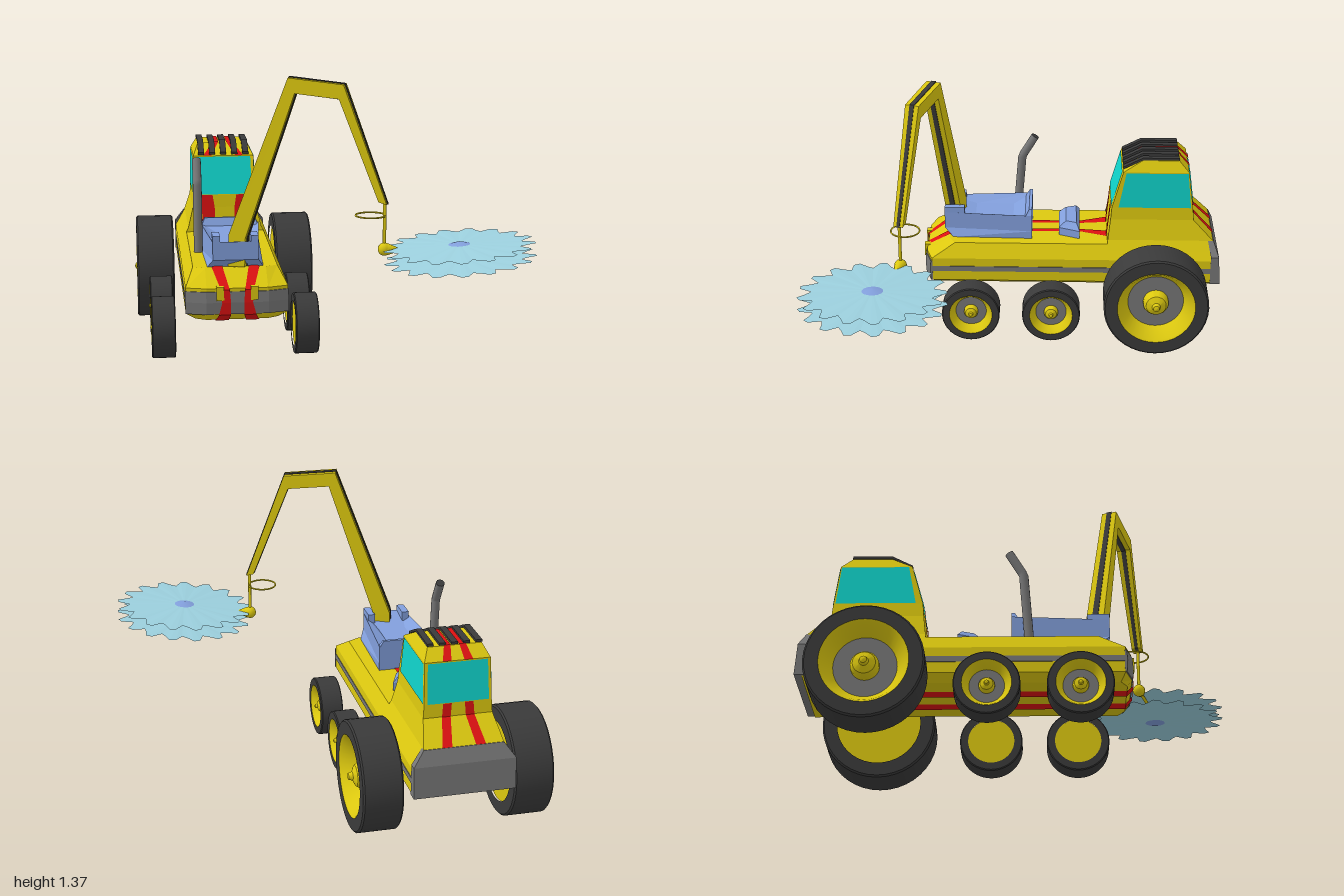
import * as THREE from 'three';
import { toCreasedNormals } from 'three/addons/utils/BufferGeometryUtils.js';

const mat = (color, extra = {}) => new THREE.MeshStandardMaterial({ color, ...extra });
const flat = (color) => mat(color, { flatShading: true });
const thin = (color) => mat(color, { flatShading: true, side: THREE.DoubleSide });
const YELLOW = 0xdcc80f, RED = 0xdd1111, GREY = 0x777777, DARK = 0x3a3a3a;
const BLUE = 0x829fdc, GLASS = 0x10d5cc, BLADE = 0x9cd0de;

function add(parent, name, geo, material, pos = [0, 0, 0]) {
  const m = new THREE.Mesh(geo, material);
  m.name = name;
  m.position.set(...pos);
  parent.add(m);
  return m;
}

function fromTriangles(tris) {
  const g = new THREE.BufferGeometry();
  g.setAttribute('position', new THREE.Float32BufferAttribute(tris.flat(2), 3));
  g.computeVertexNormals();
  return g;
}

// Solid through a series of equal-length cross-section loops
function loft(rings) {
  const t = [], n = rings[0].length, last = rings[rings.length - 1];
  for (let r = 0; r < rings.length - 1; r++) {
    const a = rings[r], b = rings[r + 1];
    for (let i = 0; i < n; i++) {
      const j = (i + 1) % n;
      t.push([a[i], a[j], b[j]], [a[i], b[j], b[i]]);
    }
  }
  for (let i = 1; i < n - 1; i++) {
    t.push([rings[0][0], rings[0][i + 1], rings[0][i]], [last[0], last[i], last[i + 1]]);
  }
  return fromTriangles(t);
}

// Open band through pairs of points
function strip(pairs) {
  const t = [];
  for (let i = 0; i < pairs.length - 1; i++) {
    const [a, b] = pairs[i], [c, d] = pairs[i + 1];
    t.push([a, b, d], [a, d, c]);
  }
  return fromTriangles(t);
}

// Horizontal four-sided loop: height, front z, back z, half widths front and back
const rect = (y, zf, zb, hf, hb = hf) => [[hf, y, zf], [hb, y, zb], [-hb, y, zb], [-hf, y, zf]];
// The same with chamfered front corners
const nose = (y, zf, zb, h, c) => [[c, y, zf], [h, y, zf - 0.03], [h, y, zb], [-h, y, zb], [-h, y, zf - 0.03], [-c, y, zf]];

function wheel(R, h) {
  const g = new THREE.Group();
  const lathe = (name, pts, color) => add(g, name, toCreasedNormals(
    new THREE.LatheGeometry(pts.map(([r, y]) => new THREE.Vector2(r * R, y * h)), 40), 0.6), mat(color));
  lathe('tyre', [[0.74, -1], [0.97, -1], [1, -0.92], [1, 0.92], [0.97, 1], [0.74, 1]], DARK);
  lathe('innerDisc', [[0, -0.9], [0.75, -0.9]], YELLOW);
  lathe('rim', [[0.74, 1], [0.7, 0.92], [0.53, 0.2]], YELLOW);
  lathe('wheelPlate', [[0.54, 0.2], [0, 0.2]], GREY);
  lathe('hub', [[0.24, 0.2], [0.24, 0.45], [0.19, 0.7], [0.08, 0.85], [0.06, 1.05], [0, 1.12]], YELLOW);
  return g;
}

function buildTruck(truck) {
  // Chassis, bumpers and side trim
  add(truck, 'chassis', loft([nose(0.265, 0.455, -0.96, 0.19, 0.14), nose(0.295, 0.475, -0.97, 0.234, 0.14),
    nose(0.415, 0.475, -0.965, 0.234, 0.14), nose(0.485, 0.36, -0.95, 0.195, 0.14)]), flat(YELLOW));
  add(truck, 'frontBumper', loft([nose(0.295, 0.48, 0.442, 0.236, 0.142), nose(0.35, 0.484, 0.442, 0.236, 0.142),
    nose(0.4, 0.48, 0.442, 0.236, 0.142)]), flat(GREY));
  add(truck, 'rearBumper', loft([rect(0.288, -0.95, -1, 0.236), rect(0.435, -0.95, -0.99, 0.236),
    rect(0.505, -0.935, -0.963, 0.185)]), flat(GREY));
  add(truck, 'sideTrim', new THREE.BoxGeometry(0.474, 0.027, 1.41), flat(GREY), [0, 0.359, -0.255]);

  // Cab
  add(truck, 'cab', loft([rect(0.43, -0.43, -0.965, 0.225), rect(0.505, -0.435, -0.96, 0.185),
    rect(0.607, -0.447, -0.86, 0.16), rect(0.67, -0.452, -0.855, 0.156),
    rect(0.86, -0.505, -0.83, 0.152), rect(0.913, -0.6, -0.78, 0.125)]), flat(YELLOW));
  const pane = (name, a, b, c, d) => add(truck, name, strip([[a, b], [c, d]]), thin(GLASS));
  pane('windscreen', [-0.14, 0.672, -0.449], [0.14, 0.672, -0.449], [-0.136, 0.856, -0.5], [0.136, 0.856, -0.5]);
  pane('rearWindow', [-0.142, 0.672, -0.859], [0.142, 0.672, -0.859], [-0.138, 0.856, -0.835], [0.138, 0.856, -0.835]);
  for (const s of [1, -1]) {
    pane('sideWindow', [s * 0.159, 0.672, -0.485], [s * 0.159, 0.672, -0.845],
      [s * 0.155, 0.856, -0.52], [s * 0.155, 0.856, -0.825]);
  }

  // Roof bars following the roof slope
  for (let i = -2; i <= 2; i++) {
    const x = i * 0.056, w = 0.015;
    const section = (y, z) => [[x - w, y, z], [x - w, y + 0.012, z], [x + w, y + 0.012, z], [x + w, y, z]];
    add(truck, 'roofBar', loft([section(0.866, -0.505), section(0.915, -0.6), section(0.915, -0.78)]), thin(DARK));
  }

  // Paired racing stripes: height, z, inner and outer offset
  const stripes = [
    [[0.261, -0.94, 0.04, 0.1], [0.261, 0.456, 0.04, 0.1], [0.293, 0.485, 0.03, 0.085], [0.35, 0.488, 0.03, 0.07],
      [0.41, 0.484, 0.035, 0.075], [0.489, 0.363, 0.06, 0.11], [0.489, 0.25, 0.035, 0.062], [0.489, -0.3, 0.035, 0.062],
      [0.489, -0.43, 0.05, 0.11], [0.607, -0.442, 0.05, 0.115], [0.67, -0.447, 0.06, 0.12]],
    [[0.862, -0.508, 0.06, 0.1], [0.917, -0.601, 0.02, 0.05], [0.917, -0.782, 0.02, 0.05], [0.862, -0.835, 0.03, 0.07]],
    [[0.67, -0.86, 0.03, 0.07], [0.608, -0.865, 0.035, 0.075], [0.507, -0.965, 0.055, 0.1]],
  ];
  for (const path of stripes) for (const s of [1, -1]) {
    add(truck, 'stripe', strip(path.map(([y, z, a, b]) => [[s * a, y, z], [s * b, y, z]])), thin(RED));
  }

  // Blue deck box with a shallow basin and raised lips
  add(truck, 'deckBox', loft([rect(0.483, 0.34, -0.055, 0.13, 0.14), rect(0.525, 0.385, -0.055, 0.105, 0.14),
    rect(0.61, 0.385, -0.055, 0.105, 0.14), rect(0.58, 0.23, 0.04, 0.068)]), flat(BLUE));
  add(truck, 'rearLip', loft([rect(0.6, -0.02, -0.055, 0.136, 0.14), rect(0.637, -0.04, -0.055, 0.12)]), flat(BLUE));
  for (const s of [1, -1]) {
    add(truck, 'frontLip', new THREE.BoxGeometry(0.035, 0.05, 0.1), flat(BLUE), [s * 0.088, 0.612, 0.335]);
  }
  add(truck, 'deckHatch', loft([rect(0.483, -0.19, -0.295, 0.092, 0.138), rect(0.525, -0.19, -0.295, 0.092, 0.138),
    rect(0.557, -0.225, -0.278, 0.08, 0.1)]), flat(BLUE));

  // Exhaust stack
  const pipe = new THREE.CurvePath();
  const bends = [[0.025, 0.485], [0.0, 0.81], [-0.065, 0.92]].map(([z, y]) => new THREE.Vector3(-0.155, y, z));
  pipe.add(new THREE.LineCurve3(bends[0], bends[1]));
  pipe.add(new THREE.LineCurve3(bends[1], bends[2]));
  add(truck, 'exhaust', new THREE.TubeGeometry(pipe, 24, 0.021, 12), mat(GREY, { side: THREE.DoubleSide }));
  const tip = add(truck, 'exhaustTip', new THREE.CircleGeometry(0.021, 12), thin(DARK), bends[2].toArray());
  tip.rotation.x = -2.1;

  // Front hooks and wheels on both sides
  for (const s of [1, -1]) {
    add(truck, 'frontHook', new THREE.BoxGeometry(0.034, 0.062, 0.055), flat(YELLOW), [s * 0.078, 0.393, 0.463]);
    for (const [R, h, x, y, z] of [[0.26, 0.094, 0.352, 0.26, -0.674], [0.144, 0.055, 0.333, 0.18, -0.155], [0.144, 0.055, 0.333, 0.18, 0.245]]) {
      const w = wheel(R, h);
      w.name = R > 0.2 ? 'rearWheel' : 'smallWheel';
      w.position.set(s * x, y, z);
      w.rotation.z = -s * Math.PI / 2;
      truck.add(w);
    }
  }
}

function buildArm(arm) {
  // Jointed boom: outer and inner edge (along, up) and half width
  const boom = [[-0.035, 0.49, 0.045, 0.49, 0.042], [-0.03, 0.64, 0.047, 0.62, 0.042], [0.249, 1.365, 0.28, 1.295, 0.036],
    [0.503, 1.34, 0.482, 1.275, 0.034], [0.699, 0.805, 0.662, 0.815, 0.024]];
  const section = (grow, k) => boom.map(([ox, oy, ix, iy, w]) => {
    const l = Math.hypot(ox - ix, oy - iy), dx = (ox - ix) / l * grow, dy = (oy - iy) / l * grow;
    const i = [ix - dx, iy - dy], o = [ox + dx, oy + dy];
    return [[...i, w * k], [...i, -w * k], [...o, -w * k], [...o, w * k]];
  });
  add(arm, 'boom', loft(section(0, 1)), flat(YELLOW));
  add(arm, 'boomStripe', loft(section(0.004, 0.33)), flat(DARK));
  // Hanging rod, loop and elbow
  add(arm, 'hangingRod', new THREE.CylinderGeometry(0.008, 0.008, 0.22, 8), mat(YELLOW), [0.686, 0.705, 0]);
  const loop = add(arm, 'hoseLoop', new THREE.TorusGeometry(0.068, 0.004, 6, 28), mat(YELLOW), [0.622, 0.75, 0]);
  loop.rotation.x = Math.PI / 2;
  add(arm, 'elbow', new THREE.SphereGeometry(0.03, 14, 10), mat(YELLOW), [0.686, 0.597, 0]);
}

function sawBlade() {
  // Thin lens whose rim is pulled into slanted teeth
  const teeth = 17, radii = [0.28, 0.302, 0.342, 0.335];
  const g = new THREE.LatheGeometry([[0, -0.009], [1, 0], [0, 0.009]].map((p) => new THREE.Vector2(...p)), teeth * 4);
  const p = g.attributes.position;
  for (let i = 0; i < p.count; i++) {
    const r = radii[Math.floor(i / 3) % 4];
    p.setXYZ(i, p.getX(i) * r, p.getY(i), p.getZ(i) * r);
  }
  return g;
}

export function createModel() {
  const model = new THREE.Group();
  const group = (name, x, y, z) => {
    const g = new THREE.Group();
    g.name = name;
    g.position.set(x, y, z);
    model.add(g);
    return g;
  };
  buildTruck(group('truck', -0.432, 0, 0));

  const arm = group('craneArm', -0.42, 0, 0.33);
  arm.rotation.y = -Math.atan(0.35);
  buildArm(arm);

  // Drive shaft from the elbow to the saw
  const a = new THREE.Vector3(0.228, 0.597, 0.557), b = new THREE.Vector3(0.553, 0.597, 0.655);
  add(model, 'driveShaft', new THREE.TubeGeometry(new THREE.LineCurve3(a, b), 1, 0.008, 8), mat(YELLOW));
  const cone = add(model, 'shaftCone', new THREE.ConeGeometry(0.026, 0.07, 12), mat(YELLOW), a.clone().lerp(b, 0.15).toArray());
  cone.quaternion.setFromUnitVectors(new THREE.Vector3(0, 1, 0), b.clone().sub(a).normalize());

  // Twin tilted saw blades around one hub
  const saw = group('saw', 0.553, 0.597, 0.655);
  saw.rotation.z = 0.075;
  for (const y of [0.029, -0.029]) add(saw, 'sawBlade', sawBlade(), thin(BLADE), [0, y, 0]);
  const hub = [[0, -0.05], [0.055, -0.035], [0.026, -0.025], [0.026, 0.025], [0.055, 0.035], [0, 0.05]];
  add(saw, 'sawHub', toCreasedNormals(new THREE.LatheGeometry(hub.map((p) => new THREE.Vector2(...p)), 20), 0.5), mat(BLUE));
  return model;
}
